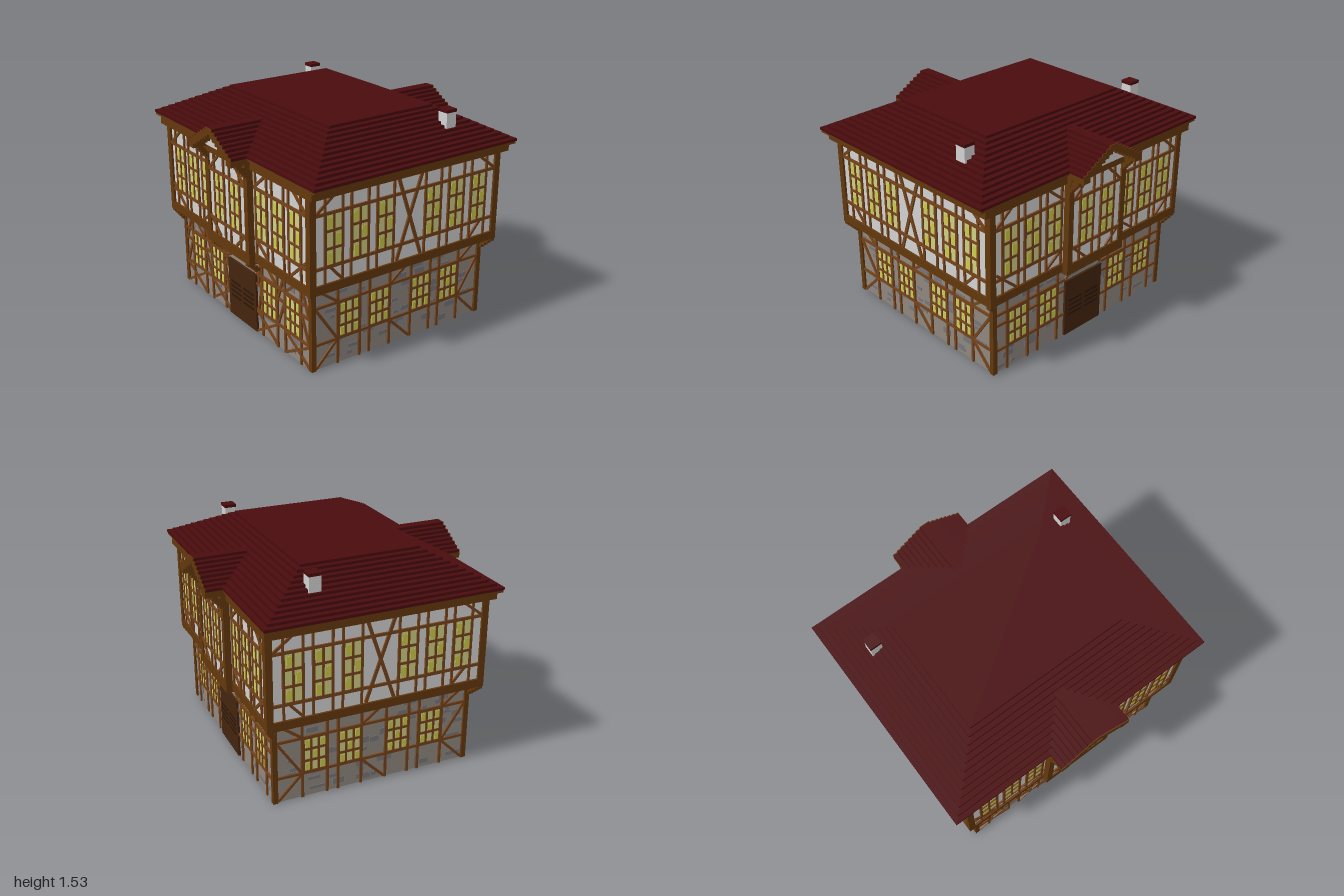
import * as THREE from 'three';

const mat = (name, color) => {
  const m = new THREE.MeshStandardMaterial({ color });
  m.name = name;
  return m;
};
const M = {
  plaster: mat('plaster', 0xd2d2d2),
  beam: mat('heavy beam', 0x63380c),
  timber: mat('thin timber', 0x74431a),
  roof: mat('roof tile', 0x490b0d),
  stone: mat('stone', 0x90877f),
  darkStone: mat('dark stone', 0x77757a),
  door: mat('door wood', 0x43240e),
  slat: mat('door slat', 0x2b1608),
  pane: mat('pale pane', 0xcfcf85),
  glow: mat('bright pane', 0xcccb48),
};

// Box given by its lower and upper limits
function box(parent, name, m, x0, x1, y0, y1, z0, z1) {
  const mesh = new THREE.Mesh(new THREE.BoxGeometry(x1 - x0, y1 - y0, z1 - z0), m);
  mesh.position.set((x0 + x1) / 2, (y0 + y1) / 2, (z0 + z1) / 2);
  mesh.name = name;
  parent.add(mesh);
  return mesh;
}

// Timber between two points on a wall panel
function bar(panel, x0, y0, x1, y1, w = 0.018, m = M.timber) {
  const len = Math.hypot(x1 - x0, y1 - y0);
  const mesh = new THREE.Mesh(new THREE.BoxGeometry(len, w, 0.024), m);
  mesh.position.set((x0 + x1) / 2, (y0 + y1) / 2, 0);
  mesh.rotation.z = Math.atan2(y1 - y0, x1 - x0);
  mesh.name = 'timber';
  panel.add(mesh);
}
const mirrorBar = (p, x0, y0, x1, y1, w) => {
  for (const s of [1, -1]) bar(p, s * x0, y0, s * x1, y1, w);
};

// Window with a grid of panes
function windowAt(panel, x, y0, y1, w, cols) {
  const g = new THREE.Group();
  g.name = 'window';
  panel.add(g);
  box(g, 'glass', M.pane, x - w / 2, x + w / 2, y0, y1, 0, 0.006);
  const cw = w / cols, rh = (y1 - y0) / 3;
  for (let c = 0; c < cols; c++) for (let r = 0; r < 3; r++) {
    if ((c + r) % 2) continue;
    const px = x - w / 2 + c * cw, py = y0 + r * rh;
    box(g, 'bright pane', M.glow, px + cw * 0.3, px + cw * 0.9, py + rh * 0.15, py + rh * 0.75, 0.004, 0.008);
  }
  for (let c = 0; c <= cols; c++) bar(g, x - w / 2 + c * cw, y0, x - w / 2 + c * cw, y1, 0.015);
  for (let r = 0; r <= 3; r++) bar(g, x - w / 2, y0 + r * rh, x + w / 2, y0 + r * rh, 0.017);
}

// Wall panel facing one of the four sides
function makePanel(root, name, turn, dist) {
  const g = new THREE.Group();
  g.name = name;
  g.rotation.y = turn * Math.PI / 2;
  g.position.set(Math.sin(g.rotation.y) * dist, 0, Math.cos(g.rotation.y) * dist);
  root.add(g);
  return g;
}

let seed = 7;
const rnd = () => (seed = (seed * 16807) % 2147483647) / 2147483647;
function stones(panel, half, count) {
  for (let i = 0; i < count; i++) {
    const w = 0.03 + 0.09 * rnd(), h = 0.02 + 0.025 * rnd();
    const x = (rnd() * 2 - 1) * (half - w / 2), y = 0.02 + rnd() * 0.5;
    box(panel, 'dark stone', M.darkStone, x - w / 2, x + w / 2, y, y + h, 0, 0.003);
  }
}

export function createModel() {
  const house = new THREE.Group();
  house.name = 'house';

  // Ground floor and upper floor cores
  box(house, 'stoneWalls', M.stone, -0.815, 0.815, 0, 0.58, -0.705, 0.705);
  box(house, 'plasterWalls', M.plaster, -0.885, 0.885, 0.6, 1.25, -0.76, 0.76);
  box(house, 'bays', M.plaster, -0.25, 0.25, 0.6, 1.25, -0.805, 0.805);
  box(house, 'sillBeam', M.beam, -0.9, 0.9, 0.575, 0.635, -0.775, 0.775);
  box(house, 'baySill', M.beam, -0.27, 0.27, 0.56, 0.635, -0.817, 0.817);
  box(house, 'cornice', M.beam, -0.95, 0.95, 1.22, 1.285, -0.795, 0.795);
  box(house, 'bayCornice', M.beam, -0.27, 0.27, 1.22, 1.28, -0.83, 0.83);

  // Posts and stepped brackets
  for (const sx of [1, -1]) for (const sz of [1, -1]) {
    const post = (name, x, z, w, y0, y1) =>
      box(house, name, M.beam, sx * x - w / 2, sx * x + w / 2, y0, y1, sz * z - w / 2, sz * z + w / 2);
    post('groundPost', 0.813, 0.7, 0.034, 0, 0.58);
    post('upperPost', 0.877, 0.752, 0.046, 0.6, 1.23);
    post('bayPost', 0.247, 0.795, 0.044, 0.6, 1.23);
    for (let k = 0; k < 4; k++) {
      post('cornerBracket', 0.882 - k * 0.017, 0.752 - k * 0.012, 0.034, 0.557 - k * 0.018, 0.58 - k * 0.018);
      post('gableBracket', 0.247, 0.865 - k * 0.017, 0.04, 1.23 - k * 0.02, 1.262 - k * 0.02);
      if (sz > 0) post('bayBracket', 0.225, 0.795 - k * 0.02, 0.034, 0.54 - k * 0.018, 0.565 - k * 0.018);
    }
  }

  // Front and back
  for (const turn of [0, 2]) {
    const p = makePanel(house, turn ? 'groundBack' : 'groundFront', turn, 0.705);
    stones(p, 0.8, 45);
    for (const s of [1, -1]) {
      for (const x of [0.612, 0.337]) windowAt(p, s * x, 0.18, 0.435, 0.165, 3);
      for (const x of [0.705, 0.522, 0.43, 0.247]) bar(p, s * x, 0, s * x, 0.58);
      for (const y of [0.175, 0.365]) {
        bar(p, s * 0.8, y, s * 0.7, y);
        bar(p, s * 0.52, y, s * 0.43, y);
        bar(p, s * 0.25, y, s * 0.18, y);
      }
      bar(p, s * 0.8, 0.175, s * 0.18, 0.175);
      bar(p, s * 0.8, 0.445, s * 0.18, 0.445);
      if (turn) continue;
      for (const [a, b] of [[0.8, 0.53], [0.43, 0.18]]) {
        bar(p, s * a, 0.01, s * b, 0.165);
        bar(p, s * a, 0.165, s * b, 0.01);
      }
      for (const [a, b] of [[0.79, 0.715], [0.44, 0.515], [0.2, 0.24]]) {
        bar(p, s * a, 0.185, s * b, 0.36);
        bar(p, s * a, 0.37, s * b, 0.56);
      }
      bar(p, s * 0.68, 0.57, s * 0.54, 0.46);
      bar(p, s * 0.27, 0.57, s * 0.41, 0.46);
    }
    // Door with slats, and the lintel above
    box(p, 'door', M.door, -0.178, 0.178, 0, 0.43, -0.01, 0.016);
    for (const s of [1, -1]) for (let i = 0; i < 4; i++)
      box(p, 'doorSlat', M.slat, s * 0.08 - 0.065, s * 0.08 + 0.065, 0.15 + i * 0.036, 0.165 + i * 0.036, 0.014, 0.019);
    bar(p, -0.18, 0.55, 0.18, 0.55);
    mirrorBar(p, 0.17, 0.45, 0.08, 0.54);

    const u = makePanel(house, turn ? 'upperBack' : 'upperFront', turn, 0.76);
    for (const y of [0.745, 1.095]) mirrorBar(u, 0.87, y, 0.25, y, 0.02);
    for (const s of [1, -1]) {
      for (const x of [0.727, 0.54, 0.35]) {
        windowAt(u, s * x, 0.75, 1.095, 0.126, 2);
        for (const e of [-0.066, 0.066]) bar(u, s * (x + e), 0.63, s * (x + e), 1.22, 0.015);
      }
      bar(u, s * 0.85, 1.1, s * 0.71, 1.215);
      bar(u, s * 0.27, 1.1, s * 0.41, 1.215);
      bar(u, s * 0.85, 0.79, s * 0.68, 0.64);
      bar(u, s * 0.27, 0.75, s * 0.42, 0.64);
    }
    const b = makePanel(house, turn ? 'bayBack' : 'bayFront', turn, 0.805);
    for (const y of [0.745, 1.095]) bar(b, -0.23, y, 0.23, y, 0.02);
    for (const s of [1, -1]) {
      windowAt(b, s * 0.098, 0.75, 1.095, 0.122, 2);
      for (const x of [0.036, 0.16]) bar(b, s * x, 0.63, s * x, 1.22, 0.015);
      bar(b, s * 0.23, 1.09, s * 0.1, 1.215);
      bar(b, s * 0.23, 0.76, s * 0.1, 0.64);
    }
  }

  // Left and right sides
  for (const turn of [1, 3]) {
    const p = makePanel(house, 'groundSide', turn, 0.815);
    stones(p, 0.69, 45);
    for (const y of [0.18, 0.44]) bar(p, -0.69, y, 0.69, y);
    for (const s of [1, -1]) {
      for (const x of [0.422, 0.175]) windowAt(p, s * x, 0.185, 0.435, 0.16, 3);
      for (const x of [0.51, 0.335, 0.257, 0.09]) bar(p, s * x, 0, s * x, 0.575);
      bar(p, s * 0.68, 0.57, s * 0.52, 0.45);
      bar(p, s * 0.68, 0.01, s * 0.52, 0.17);
      bar(p, s * 0.68, 0.43, s * 0.52, 0.19);
    }
    bar(p, -0.08, 0.45, 0.08, 0.57);
    bar(p, -0.08, 0.17, 0.08, 0.01);

    const u = makePanel(house, 'upperSide', turn, 0.885);
    for (const y of [0.745, 1.095]) bar(u, -0.74, y, 0.74, y, 0.02);
    for (const s of [1, -1]) {
      for (const x of [0.593, 0.395, 0.195]) {
        windowAt(u, s * x, 0.75, 1.095, 0.126, 2);
        for (const e of [-0.066, 0.066]) bar(u, s * (x + e), 0.63, s * (x + e), 1.22, 0.015);
      }
      bar(u, s * 0.1, 1.215, s * -0.1, 0.64, 0.022);
      bar(u, s * 0.73, 1.1, s * 0.58, 1.215);
      bar(u, s * 0.62, 0.74, s * 0.53, 0.64);
    }
  }

  // Stepped hip roof
  box(house, 'eaves', M.beam, -0.995, 0.995, 1.28, 1.3, -0.808, 0.808);
  for (let k = 0; k < 12; k++) {
    const x = 1 - k * 0.0364, z = 0.813 - k * 0.0358, y = 1.297 + k * 0.0187;
    box(house, 'roofStep', M.roof, -x, x, y, y + 0.0187, -z, z);
  }

  // Gables over the bays: plaster triangle, stepped roof, timber verge
  const tri = new THREE.Shape([[-0.25, 1.27], [0.25, 1.27], [0, 1.43]].map(([x, y]) => new THREE.Vector2(x, y)));
  const gable = new THREE.Mesh(new THREE.ExtrudeGeometry(tri, { depth: 1.68, bevelEnabled: false }), M.plaster);
  gable.position.z = -0.84;
  gable.name = 'gableWall';
  house.add(gable);
  for (let k = 0; k < 8; k++) for (const s of [1, -1]) {
    const out = 0.27 - k * 0.033, inn = Math.max(0, out - 0.06), y = 1.297 + k * 0.019;
    const x0 = Math.min(s * out, s * inn), x1 = Math.max(s * out, s * inn);
    box(house, 'gableRoofStep', M.roof, x0, x1, y, y + 0.019, -0.924, 0.924);
    box(house, 'gableRafter', M.beam, x0, x1, y - (k ? 0.025 : 0.04), y, -0.924, 0.924);
    for (const e of [1, -1])
      box(house, 'gableVerge', M.beam, x0, x1, y - (k ? 0.025 : 0.04), y + 0.019, e * 0.927 - 0.003, e * 0.927 + 0.003);
  }

  // Chimneys
  for (const s of [1, -1]) {
    box(house, 'chimney', M.plaster, s * 0.76 - 0.04, s * 0.76 + 0.04, 1.36, 1.515, -0.447, -0.367);
    box(house, 'chimneyCap', M.roof, s * 0.76 - 0.042, s * 0.76 + 0.042, 1.512, 1.533, -0.449, -0.365);
  }
  return house;
}
